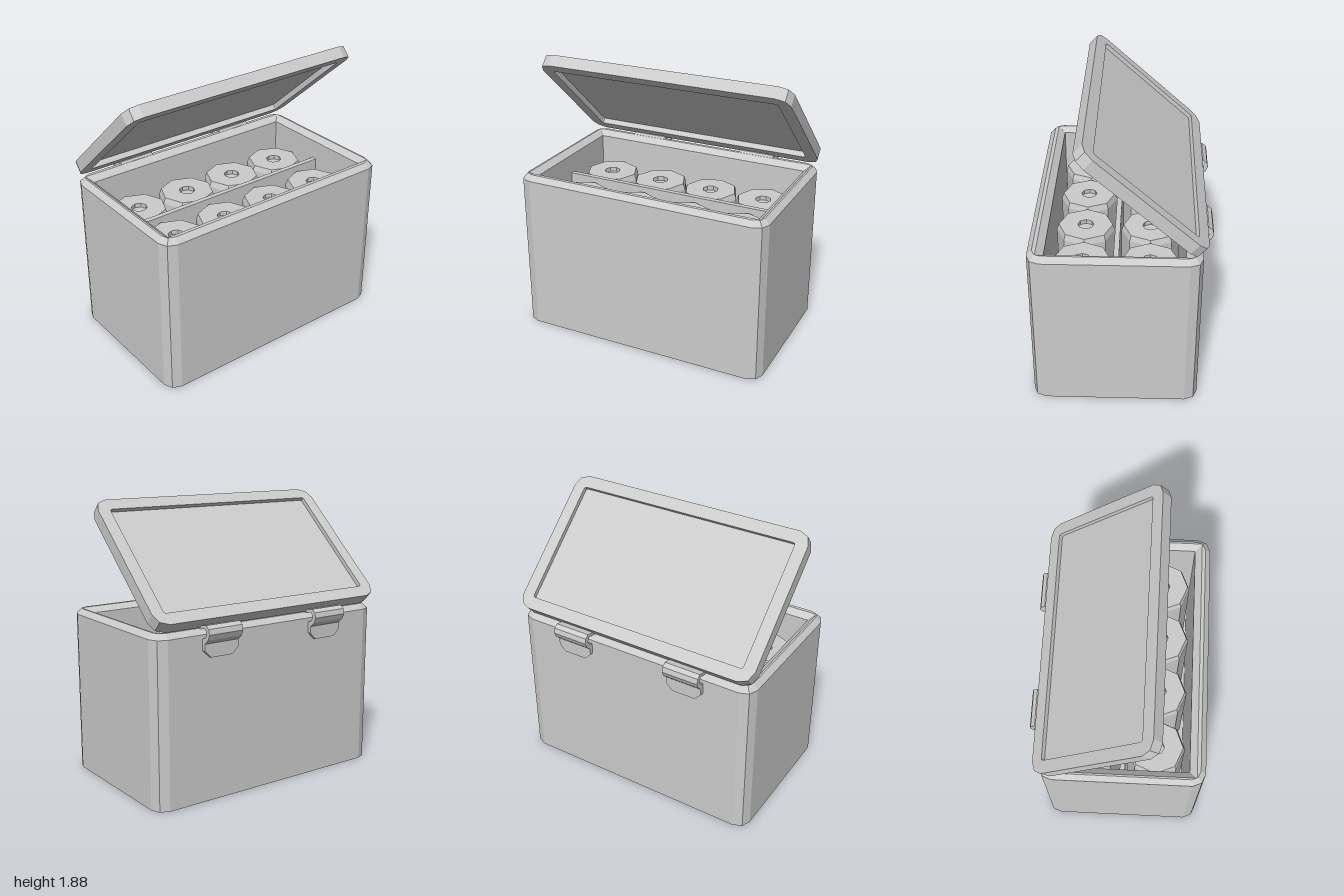
import * as THREE from 'three';

const mat = new THREE.MeshStandardMaterial({ color: 0xcccccc, flatShading: true, side: THREE.DoubleSide });
const HALF_W = 0.889, HALF_D = 0.546, CORNER = 0.086;

function add(parent, name, geometry, x = 0, y = 0, z = 0) {
  const mesh = new THREE.Mesh(geometry, mat);
  mesh.name = name;
  mesh.position.set(x, y, z);
  parent.add(mesh);
  return mesh;
}

// Rectangle outline with two-segment corners, counter-clockwise
function outline(a, b, r) {
  const points = [];
  [[1, 1], [-1, 1], [-1, -1], [1, -1]].forEach(([sx, sy], q) => {
    for (let i = 0; i < 3; i++) {
      const t = (q + i / 2) * Math.PI / 2;
      points.push(new THREE.Vector2(sx * (a - r) + r * Math.cos(t), sy * (b - r) + r * Math.sin(t)));
    }
  });
  return points;
}

// Skin through stacked outlines, capped at both ends
function loftShell(sections) {
  const pos = [], index = [], n = 12;
  for (const [a, b, r, y] of sections)
    for (const p of outline(a, b, r)) pos.push(p.x, y, -p.y);
  for (let s = 0; s < sections.length - 1; s++)
    for (let i = 0; i < n; i++) {
      const p = s * n + i, q = s * n + (i + 1) % n;
      index.push(p, q, q + n, p, q + n, p + n);
    }
  const last = (sections.length - 1) * n;
  for (let i = 1; i < n - 1; i++) {
    index.push(0, i + 1, i);
    index.push(last, last + i, last + i + 1);
  }
  const g = new THREE.BufferGeometry();
  g.setAttribute('position', new THREE.Float32BufferAttribute(pos, 3));
  g.setIndex(index);
  const flat = g.toNonIndexed();
  flat.computeVertexNormals();
  return flat;
}

function extrude(shape, depth) {
  return new THREE.ExtrudeGeometry(shape, { depth, bevelEnabled: false });
}

const shapeOf = (pairs) => new THREE.Shape(pairs.map(([x, y]) => new THREE.Vector2(x, y)));

export function createModel() {
  const model = new THREE.Group();
  const chest = new THREE.Group();
  chest.name = 'coolBox';
  chest.rotation.y = THREE.MathUtils.degToRad(20);
  chest.position.set(0.0025, 0, 0.0125);
  model.add(chest);

  // Hollow body with a rim bevelled outside and inside
  add(chest, 'body', loftShell([
    [HALF_W, HALF_D, CORNER, 0],
    [HALF_W, HALF_D, CORNER, 1.095],
    [HALF_W - 0.035, HALF_D - 0.035, 0.06, 1.13],
    [0.842, 0.487, 0.004, 1.13],
    [0.8, 0.44, 0.004, 1.095],
    [0.8, 0.44, 0.004, 0.06],
  ]));

  // Divider between the two rows
  add(chest, 'divider', new THREE.BoxGeometry(1.6, 0.89, 0.035), 0, 0.515, 0);

  // Two rows of eight-sided cans with a recessed centre
  const canProfile = [[0, 0.06], [0.197, 0.06], [0.197, 0.89], [0.183, 0.93], [0.055, 0.93], [0.055, 0.9], [0, 0.9]]
    .map(([r, y]) => new THREE.Vector2(r, y));
  const canGeometry = new THREE.LatheGeometry(canProfile, 8);
  for (const z of [0.22, -0.22])
    for (let i = 0; i < 4; i++) add(chest, 'can', canGeometry, (i - 1.5) * 0.396, 0, z);

  // Open lid, pivoting on its rear lower edge
  const lid = new THREE.Group();
  lid.name = 'lid';
  lid.position.set(0, 1.135, -0.52);
  lid.rotation.x = THREE.MathUtils.degToRad(-42);
  chest.add(lid);
  const lidHalfD = 0.51, frame = 0.085;
  const lidShape = new THREE.Shape(outline(HALF_W, lidHalfD, CORNER));
  lidShape.holes.push(new THREE.Path(outline(HALF_W - frame, lidHalfD - frame, 0.015).reverse()));
  add(lid, 'lidFrame', extrude(lidShape, 0.083), 0, 0, lidHalfD).rotation.x = -Math.PI / 2;
  add(lid, 'lidPanel', new THREE.BoxGeometry(2 * (HALF_W - frame), 0.015, 2 * (lidHalfD - frame)), 0, 0.047, lidHalfD);

  // Hinges: a leaf on the back wall and a bent plate reaching under the lid
  const w = 0.1275, cut = 0.045;
  const leaf = shapeOf([[-w + cut, 0.95], [w - cut, 0.95], [w, 0.95 + cut], [w, 1.07], [-w, 1.07], [-w, 0.95 + cut]]);
  const bend = shapeOf([[-0.546, 1.04], [-0.572, 1.04], [-0.605, 1.07], [-0.62, 1.105], [-0.612, 1.14],
    [-0.585, 1.16], [-0.5, 1.145], [-0.49, 1.13], [-0.51, 1.125], [-0.575, 1.135], [-0.59, 1.105], [-0.575, 1.08], [-0.546, 1.07]]);
  for (const side of [-1, 1]) {
    const hinge = new THREE.Group();
    hinge.name = 'hinge';
    hinge.position.x = side * 0.425;
    chest.add(hinge);
    add(hinge, 'hingeLeaf', extrude(leaf, 0.028), 0, 0, -0.572);
    add(hinge, 'hingeBend', extrude(bend, 2 * w), w, 0, 0).rotation.y = -Math.PI / 2;
  }
  return model;
}
